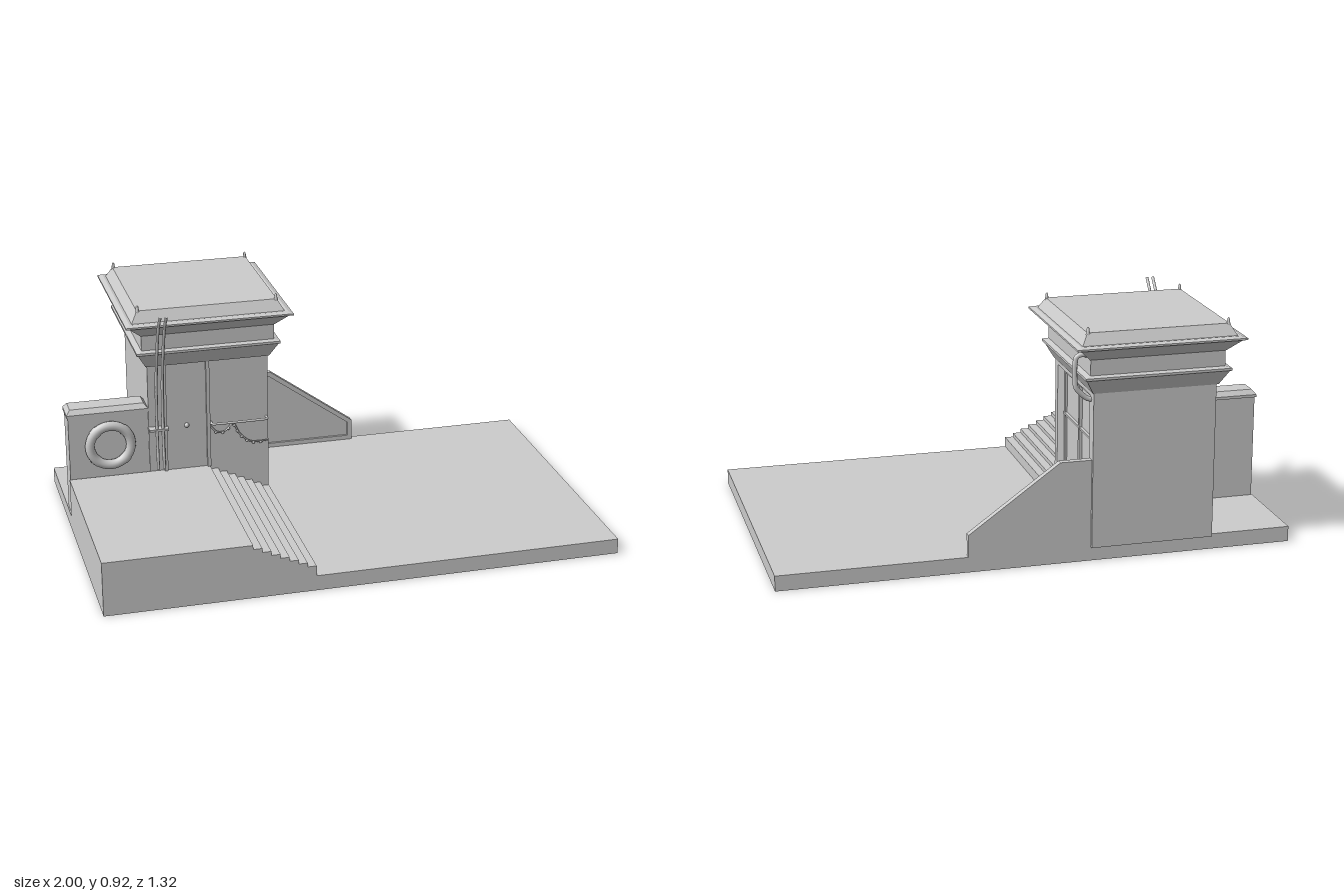
import * as THREE from 'three';

const mat = new THREE.MeshStandardMaterial({ color: 0xcccccc });

export function createModel() {
  const root = new THREE.Group();
  const add = (name, geo, x = 0, y = 0, z = 0, parent = root) => {
    const m = new THREE.Mesh(geo, mat);
    m.name = name;
    m.position.set(x, y, z);
    parent.add(m);
    return m;
  };
  // box given by its limits on each axis
  const box = (name, x0, x1, y0, y1, z0, z1) =>
    add(name, new THREE.BoxGeometry(x1 - x0, y1 - y0, z1 - z0), (x0 + x1) / 2, (y0 + y1) / 2, (z0 + z1) / 2);
  const poly = (pts) => new THREE.Shape(pts.map((p) => new THREE.Vector2(...p)));
  const rect = (a, b, c, d) => [[a, c], [b, c], [b, d], [a, d]];
  const extrude = (outer, depth, hole) => {
    const s = poly(outer);
    if (hole) s.holes.push(poly(hole));
    return new THREE.ExtrudeGeometry(s, { depth, bevelEnabled: false });
  };
  const tube = (name, pts, r, seg = 32) =>
    add(name, new THREE.TubeGeometry(new THREE.CatmullRomCurve3(pts.map((p) => new THREE.Vector3(...p))), seg, r, 8));
  // stack of rectangles [halfX, halfZ, y], joined and closed at the end
  const loft = (rings, closeStart = true) => {
    const pos = [];
    const corner = (r, i) => [[1, 1], [1, -1], [-1, -1], [-1, 1]].map(([a, b]) => [a * r[0], r[2], b * r[1]])[i % 4];
    const quad = (a, b, c, d) => pos.push(...a, ...b, ...c, ...a, ...c, ...d);
    for (let k = 0; k < rings.length - 1; k++)
      for (let i = 0; i < 4; i++)
        quad(corner(rings[k], i), corner(rings[k], i + 1), corner(rings[k + 1], i + 1), corner(rings[k + 1], i));
    const top = rings[rings.length - 1];
    quad(...[0, 1, 2, 3].map((i) => corner(top, i)));
    if (closeStart) quad(...[3, 2, 1, 0].map((i) => corner(rings[0], i)));
    const g = new THREE.BufferGeometry();
    g.setAttribute('position', new THREE.Float32BufferAttribute(pos, 3));
    g.computeVertexNormals();
    return g;
  };

  // ground slab, raised platform with steps down its side
  box('groundSlab', -1, 1, 0, 0.06, -0.575, 0.66);
  const steps = [[-1, 0.06], [-0.2, 0.06], [-0.2, 0.101]];
  const count = 7;
  for (let i = 0; i < count; i++) {
    const y = 0.101 + i * 0.0163;
    const x = -0.2 - (i + 1) * 0.0343;
    steps.push([x, y], [x, y + 0.0163]);
  }
  steps.push([-1, 0.215]);
  add('platformWithSteps', extrude(steps, 0.752), 0, 0, -0.092);

  // hut walls; the right wall has a window opening
  box('hutBody', -0.68, -0.24, 0.055, 0.8, -0.59, -0.092);
  const wall = extrude(rect(0.092, 0.59, 0.055, 0.8), 0.04, rect(0.125, 0.54, 0.23, 0.645));
  wall.rotateY(Math.PI / 2);
  add('windowWall', wall, -0.24, 0, 0);

  // window: splayed reveal with pane, sash and glazing bars
  const reveal = loft([[0.2075, 0.2075, 0], [0.189, 0.189, -0.03]], false);
  reveal.rotateZ(-Math.PI / 2);
  add('windowReveal', reveal, -0.2, 0.4375, -0.3325);
  const sash = extrude(rect(0.143, 0.522, 0.248, 0.627), 0.008, rect(0.156, 0.497, 0.256, 0.62));
  sash.rotateY(Math.PI / 2);
  add('windowSash', sash, -0.23, 0, 0);
  box('verticalGlazingBar', -0.23, -0.218, 0.248, 0.627, -0.354, -0.338);
  box('horizontalGlazingBar', -0.23, -0.219, 0.45, 0.459, -0.522, -0.143);

  // cornices and roof
  const cx = -0.442, cz = -0.335;
  add('lowerCornice', loft([
    [0.245, 0.257, 0.662], [0.277, 0.285, 0.718], [0.284, 0.292, 0.722], [0.284, 0.292, 0.731], [0.262, 0.275, 0.737],
  ]), cx, 0, cz);
  add('upperBand', loft([[0.262, 0.275, 0.73], [0.262, 0.275, 0.81]]), cx, 0, cz);
  add('roof', loft([
    [0.264, 0.275, 0.797], [0.312, 0.316, 0.842], [0.328, 0.329, 0.846], [0.328, 0.329, 0.853],
    [0.31, 0.312, 0.859], [0.3, 0.297, 0.857], [0.275, 0.272, 0.9],
  ]), cx, 0, cz);
  for (const sx of [-1, 1])
    for (const sz of [-1, 1]) {
      const f = new THREE.LatheGeometry(
        [[0.009, 0], [0.009, 0.022], [0.006, 0.032], [0.005, 0.044], [0, 0.05]].map((p) => new THREE.Vector2(...p)), 8);
      add('roofFinial', f, cx + sx * 0.272, 0.872, cz + sz * 0.268);
    }

  // door with frame and knob
  box('door', -0.61, -0.447, 0.215, 0.665, -0.1, -0.09);
  for (const x of [-0.616, -0.443]) box('doorPost', x - 0.007, x + 0.007, 0.215, 0.665, -0.1, -0.08);
  add('doorKnob', new THREE.SphereGeometry(0.01, 12, 8), -0.53, 0.4, -0.084);

  // handrail with a rope hung below it, carrying small floats
  tube('handrail', [[-0.432, 0.4, -0.092], [-0.43, 0.4, -0.068], [-0.4, 0.4, -0.065], [-0.24, 0.4, -0.065],
    [-0.21, 0.4, -0.068], [-0.208, 0.4, -0.092]], 0.005, 40);
  const ropePts = [[-0.435, 0.385, -0.084], [-0.41, 0.36, -0.08], [-0.38, 0.36, -0.08], [-0.345, 0.388, -0.08],
    [-0.32, 0.345, -0.08], [-0.28, 0.308, -0.08], [-0.24, 0.302, -0.08], [-0.205, 0.302, -0.084]];
  const rope = tube('rope', ropePts, 0.0035, 48);
  for (let i = 1; i < 10; i++) {
    const p = rope.geometry.parameters.path.getPointAt(i / 10);
    add('ropeFloat', new THREE.SphereGeometry(0.006, 8, 6), p.x, p.y - 0.004, p.z);
  }

  // two bent poles leaning on a small rack
  for (const x of [-0.652, -0.628])
    tube('bentPole', [[x, 0.235, -0.062], [x, 0.4, -0.068], [x, 0.52, -0.063], [x, 0.62, -0.05],
      [x, 0.75, -0.014], [x, 0.857, 0.03], [x, 0.918, 0.078]], 0.006, 40);
  box('poleRack', -0.682, -0.606, 0.395, 0.404, -0.095, -0.058);

  // side wall with chamfered coping, and a life ring
  box('sideWall', -0.995, -0.68, 0.06, 0.48, -0.195, -0.098);
  add('sideWallCoping', loft([[0.16, 0.053, 0.472], [0.16, 0.053, 0.483], [0.145, 0.038, 0.502]]), -0.84, 0, -0.148);
  const ring = new THREE.Group();
  ring.name = 'lifeRing';
  ring.position.set(-0.835, 0.35, -0.08);
  root.add(ring);
  add('ringBody', new THREE.TorusGeometry(0.081, 0.019, 12, 40), 0, 0, 0, ring);
  for (let i = 0; i < 4; i++) {
    const band = add('ringBand', new THREE.TorusGeometry(0.081, 0.0205, 12, 4, 0.3), 0, 0, 0, ring);
    band.rotation.z = Math.PI / 4 - 0.15 + (i * Math.PI) / 2;
  }

  // sloping wall on the low side: thin panel with a raised border
  const slope = [[-0.2, 0.06], [0.275, 0.06], [0.275, 0.147], [-0.078, 0.4], [-0.2, 0.4]];
  const inset = [[-0.178, 0.078], [0.257, 0.078], [0.257, 0.138], [-0.084, 0.381], [-0.178, 0.381]];
  add('slopingWallPanel', extrude(slope, 0.016), 0, 0, -0.577);
  add('slopingWallBorder', extrude(slope, 0.01, inset), 0, 0, -0.561);

  // downpipe from the roof back to the wall
  const z = -0.555;
  tube('downpipe', [[-0.19, 0.8, z], [-0.163, 0.805, z], [-0.143, 0.797, z], [-0.137, 0.775, z], [-0.137, 0.71, z],
    [-0.142, 0.68, z], [-0.165, 0.652, z], [-0.185, 0.636, z], [-0.205, 0.63, z]], 0.01, 48);

  return root;
}
